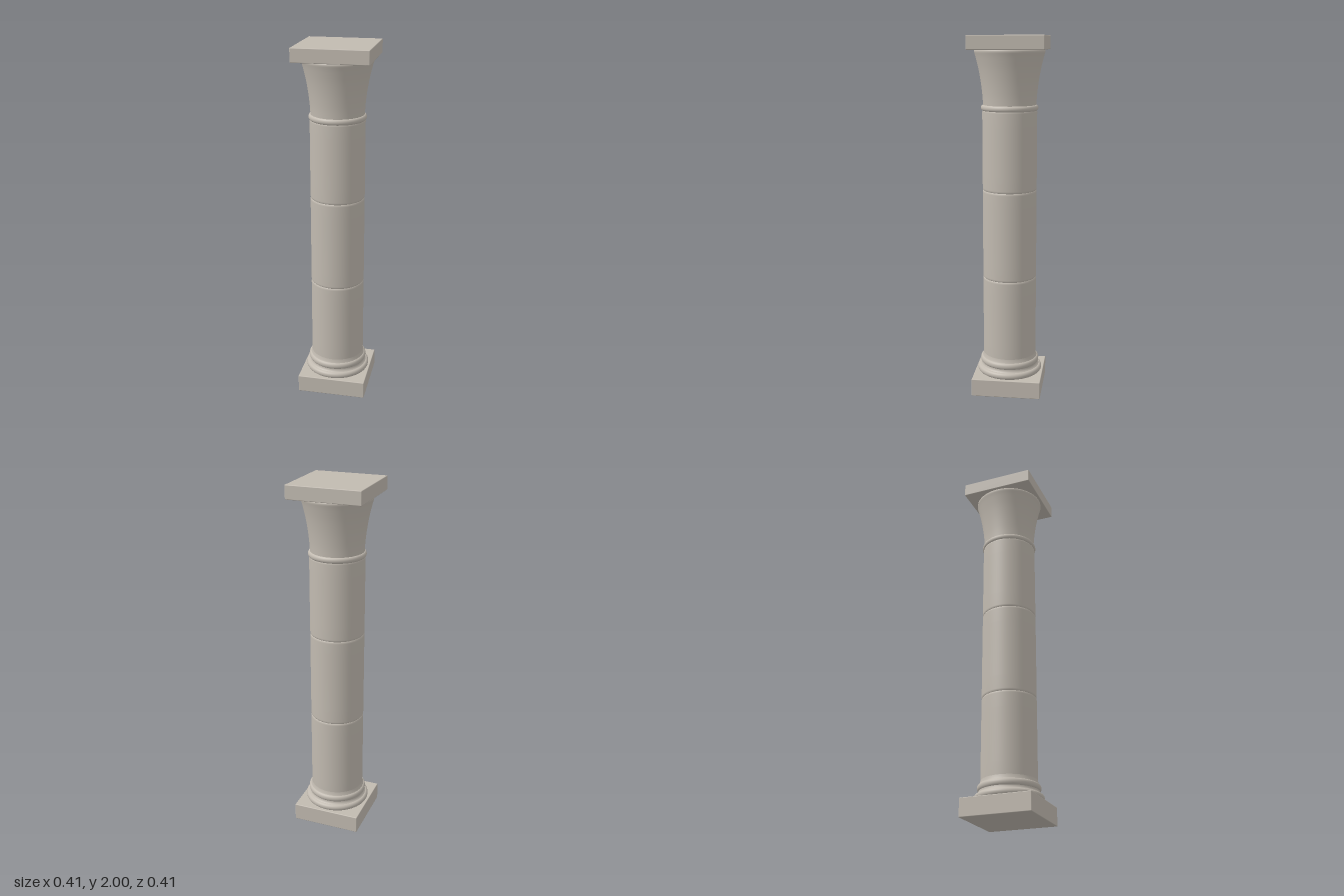
import * as THREE from 'three';
import { RoundedBoxGeometry } from 'three/addons/geometries/RoundedBoxGeometry.js';

export function createModel() {
  const group = new THREE.Group();
  const stone = new THREE.MeshStandardMaterial({ color: 0xc1bab0 });
  stone.name = 'paleStone';

  const add = (name, geometry, y = 0) => {
    const mesh = new THREE.Mesh(geometry, stone);
    mesh.name = name;
    mesh.position.y = y;
    group.add(mesh);
  };
  const slab = (name, width, bottom, top) =>
    add(name, new RoundedBoxGeometry(width, top - bottom, width, 2, 0.004), (bottom + top) / 2);
  const turned = (name, points) =>
    add(name, new THREE.LatheGeometry(points.map(([r, y]) => new THREE.Vector2(r, y)), 64));
  // Half-round moulding bulging out from an inner radius
  const bulge = (inner, outer, bottom, top, n = 8) =>
    Array.from({ length: n + 1 }, (_, i) => {
      const a = -Math.PI / 2 + (Math.PI * i) / n;
      return [inner + (outer - inner) * Math.cos(a), (bottom + top) / 2 + ((top - bottom) / 2) * Math.sin(a)];
    });

  // Square slabs at foot and head
  slab('plinth', 0.388, 0, 0.1);
  slab('abacus', 0.408, 1.925, 2);

  // Base mouldings: large torus, hollow, small torus, sweep into the shaft
  turned('lowerTorus', bulge(0.168, 0.184, 0.098, 0.136));
  turned('baseHollow', [[0.172, 0.132], [0.164, 0.139], [0.16, 0.147], [0.16, 0.155]]);
  turned('upperTorus', bulge(0.154, 0.167, 0.151, 0.189));
  turned('baseSweep', [[0.158, 0.185], [0.153, 0.193], [0.15, 0.21]]);

  // Three shaft drums with softened joints
  const joints = [0.19, 0.663, 1.163, 1.605];
  for (let i = 0; i < 3; i++) {
    const b = joints[i], t = joints[i + 1];
    turned('shaftDrum' + (i + 1), [
      [0.146, b], [0.149, b + 0.004], [0.15, b + 0.012],
      [0.15, b + 0.09], [0.15, t - 0.09],
      [0.15, t - 0.012], [0.149, t - 0.004], [0.146, t],
    ]);
  }

  // Collar ring and flared bell of the capital
  turned('collarRing', bulge(0.144, 0.156, 1.6, 1.632));
  const flare = new THREE.SplineCurve([
    [0.145, 1.625], [0.148, 1.68], [0.156, 1.75], [0.168, 1.82], [0.182, 1.88], [0.19, 1.908],
  ].map(([r, y]) => new THREE.Vector2(r, y))).getPoints(20).map((p) => [p.x, p.y]);
  turned('capitalBell', [...flare, [0.192, 1.915], [0.191, 1.922], [0.186, 1.927]]);

  return group;
}
